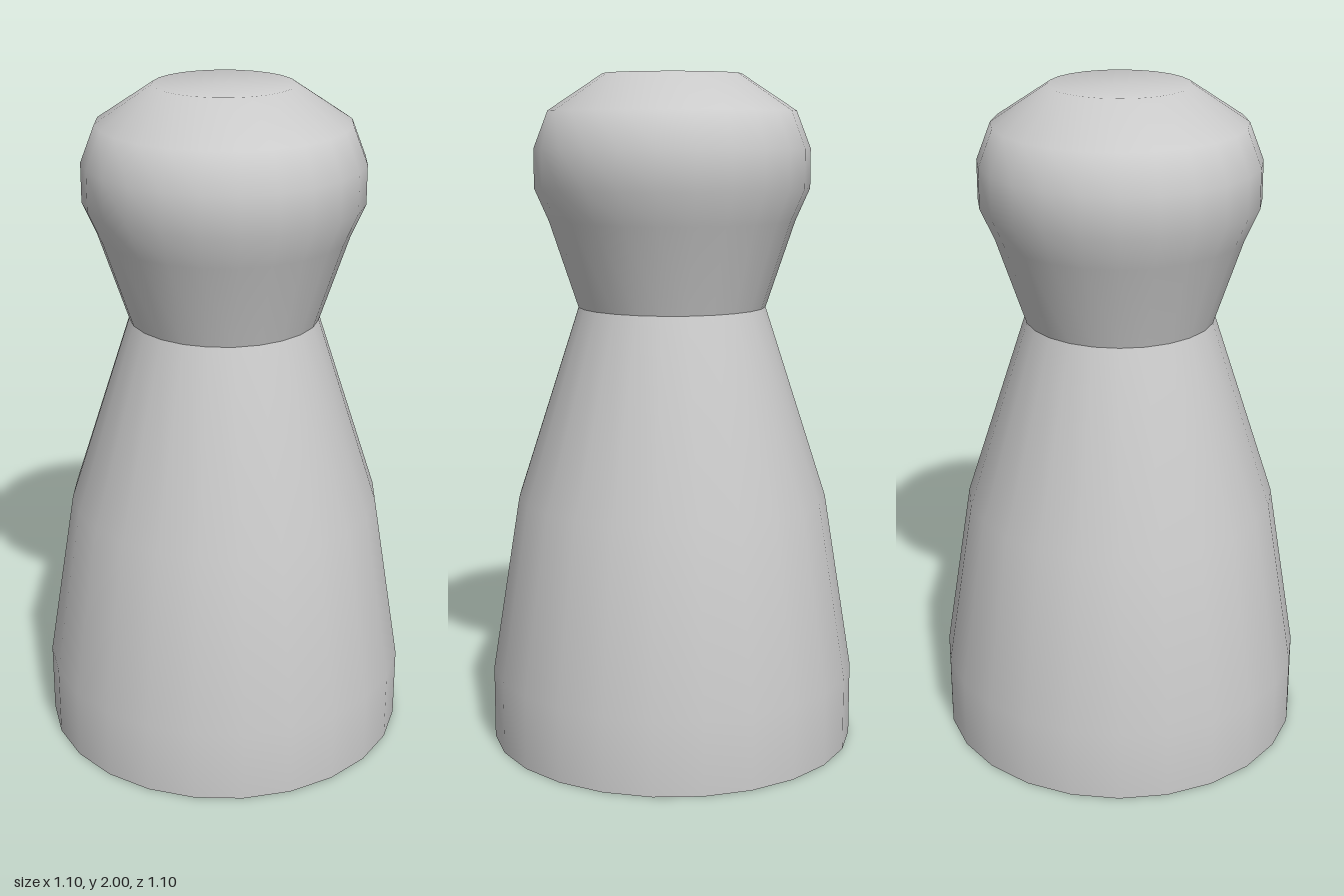
import * as THREE from 'three';

const SIDES = 24;

export function createModel() {
  const group = new THREE.Group();
  group.name = 'gamePawn';
  const material = new THREE.MeshStandardMaterial({ color: 0xcccccc });

  const add = (name, geometry) => {
    const mesh = new THREE.Mesh(geometry, material);
    mesh.name = name;
    group.add(mesh);
    return mesh;
  };
  // Profiles are [radius, height] pairs, listed upwards
  const turned = (profile) =>
    new THREE.LatheGeometry(profile.map(([r, y]) => new THREE.Vector2(r, y)), SIDES);

  // Tapering body, smooth up to the neck
  add('body', turned([[0.55, 0], [0.55, 0.22], [0.465, 0.75], [0.28, 1.32]]));

  // Head flaring out of the neck; separate so the neck stays a sharp crease
  add('head', turned([
    [0.28, 1.32], [0.365, 1.575], [0.407, 1.67], [0.407, 1.785],
    [0.365, 1.893], [0.203, 2], [0, 2],
  ]));

  // Flat underside
  add('base', new THREE.CircleGeometry(0.55, SIDES).rotateX(Math.PI / 2));

  return group;
}
